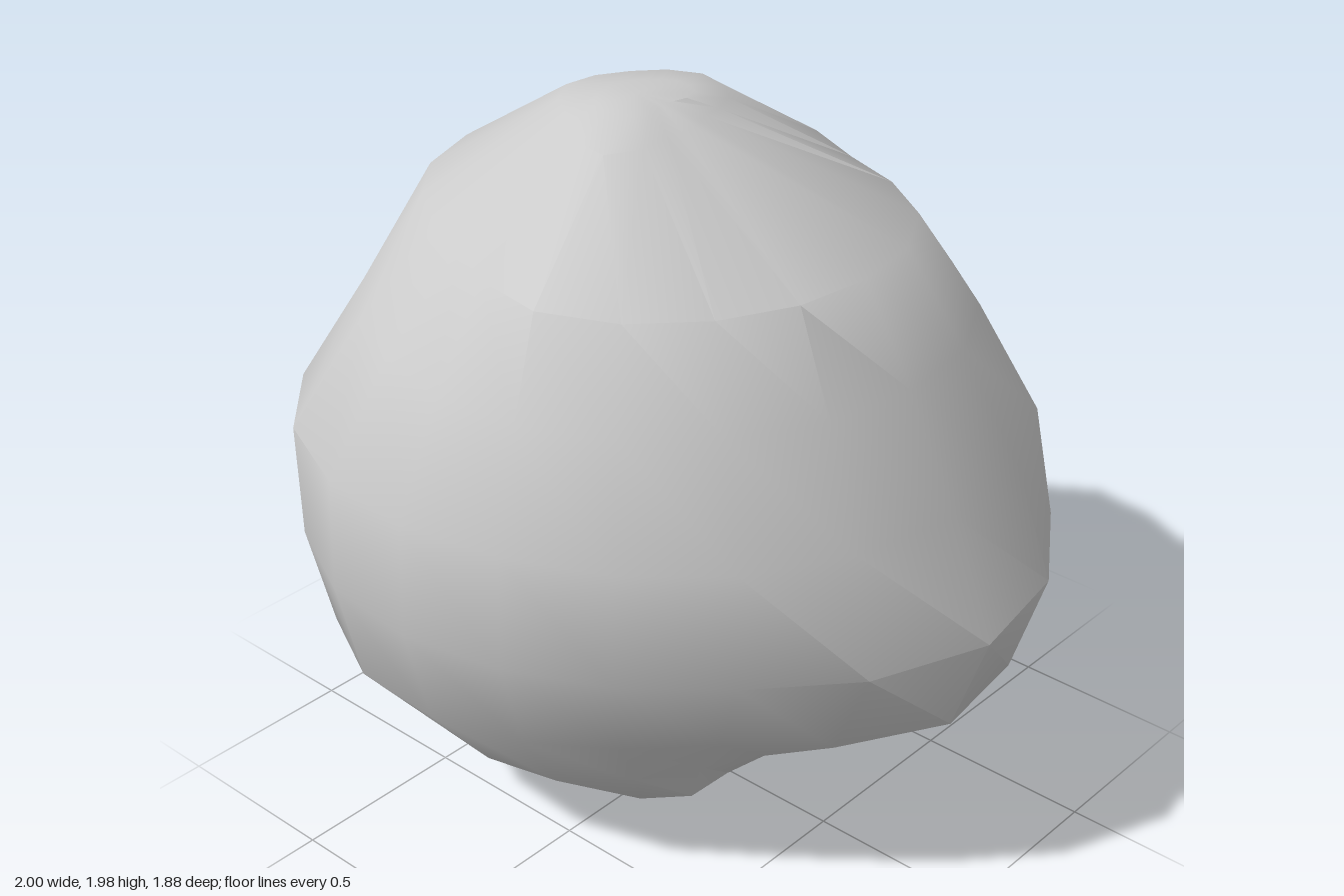
import * as THREE from 'three';
import { toCreasedNormals } from 'three/addons/utils/BufferGeometryUtils.js';

const SIDES = 20;
const AXIS_X = -0.12;

// Each ring: height, then radii every 36 degrees, from +x round through +z, -x and -z
const RINGS = [
  [1.97, 0.04, 0.05, 0.12, 0.14, 0.15, 0.15, 0.15, 0.15, 0.12, 0.05],
  // crown, chipped on the front right and back left
  [1.935, 0.14, 0.16, 0.30, 0.22, 0.23, 0.31, 0.31, 0.31, 0.22, 0.13],
  [1.69, 0.69, 0.70, 0.69, 0.56, 0.61, 0.70, 0.67, 0.72, 0.61, 0.68],
  [1.44, 0.84, 0.83, 0.81, 0.77, 0.78, 0.76, 0.75, 0.83, 0.79, 0.85],
  [1.14, 0.99, 0.95, 0.92, 0.95, 0.97, 0.82, 0.97, 0.93, 0.94, 1.02],
  // overhanging ledge on the front left, undercut by the rings below
  [0.82, 1.12, 0.96, 0.93, 0.96, 0.96, 0.88, 0.97, 0.93, 0.96, 1.08],
  [0.53, 1.02, 0.79, 0.83, 0.90, 0.89, 0.83, 0.92, 0.90, 0.91, 1.00],
  [0.29, 0.62, 0.56, 0.66, 0.68, 0.66, 0.65, 0.74, 0.73, 0.72, 0.76],
  [0.11, 0.34, 0.45, 0.44, 0.41, 0.41, 0.44, 0.49, 0.47, 0.46, 0.44],
  [0.01, 0.03, 0.08, 0.15, 0.15, 0.15, 0.15, 0.15, 0.15, 0.15, 0.08],
];

// Smooth periodic blend between the given radii, t in steps of the table
function radiusAt(radii, t) {
  const n = radii.length;
  const i = Math.floor(t);
  const f = t - i;
  const r = (k) => radii[(i + k + n) % n];
  const m0 = (r(1) - r(-1)) / 2;
  const m1 = (r(2) - r(0)) / 2;
  const f2 = f * f;
  const f3 = f2 * f;
  return (2 * f3 - 3 * f2 + 1) * r(0) + (f3 - 2 * f2 + f) * m0
    + (3 * f2 - 2 * f3) * r(1) + (f3 - f2) * m1;
}

function boulderGeometry() {
  const points = [];
  const faces = [];
  for (const [y, ...radii] of RINGS) {
    for (let j = 0; j < SIDES; j++) {
      const a = (j / SIDES) * Math.PI * 2;
      const r = radiusAt(radii, (j / SIDES) * radii.length);
      points.push(AXIS_X + Math.cos(a) * r, y, Math.sin(a) * r);
    }
  }
  const top = points.length / 3;
  points.push(-0.18, 1.975, 0, -0.18, 0, 0);

  // Bands between rings, then the two caps
  const last = (RINGS.length - 1) * SIDES;
  for (let j = 0; j < SIDES; j++) {
    const k = (j + 1) % SIDES;
    for (let row = 0; row < last; row += SIDES) {
      const a = row + j, b = row + k, c = a + SIDES, d = b + SIDES;
      faces.push(a, b, c, b, d, c);
    }
    faces.push(top, k, j, top + 1, last + j, last + k);
  }

  const geometry = new THREE.BufferGeometry();
  geometry.setAttribute('position', new THREE.Float32BufferAttribute(points, 3));
  geometry.setIndex(faces);
  return toCreasedNormals(geometry, 0.64);
}

export function createModel() {
  const model = new THREE.Group();
  model.name = 'rock';
  const boulder = new THREE.Mesh(
    boulderGeometry(),
    new THREE.MeshStandardMaterial({ color: 0xcccccc }),
  );
  boulder.name = 'boulder';
  model.add(boulder);
  return model;
}
